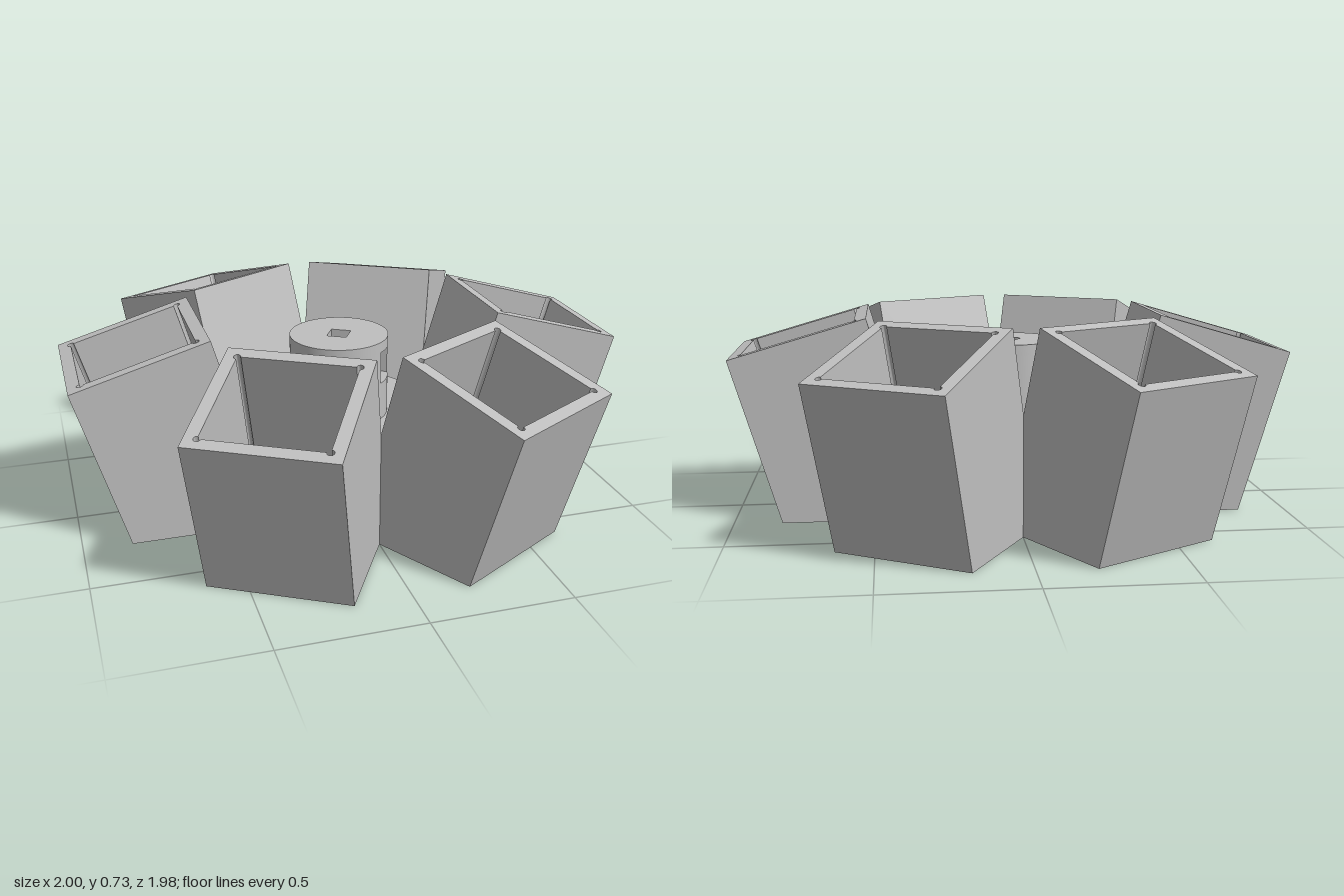
import * as THREE from 'three';
import { toCreasedNormals } from 'three/addons/utils/BufferGeometryUtils.js';

const TILT = Math.atan2(0.28, 0.96);
const S = Math.sin(TILT), C = Math.cos(TILT);
const SIDE = 0.5, POCKET = 0.205, DEPTH = 0.577;
const RIM = new THREE.Vector3(0.76, 0.655, 0); // centre of a box rim
const BASE_REACH = 0.83, DECK_Y = 0.312, HUB_TOP = 0.615, HUB_R = 0.182;

const polygon = pts => new THREE.Shape(pts.map(p => new THREE.Vector2(...p)));
const square = h => [[-h, -h], [h, -h], [h, h], [-h, h]];

function circleHole(r) {
  const p = new THREE.Path();
  p.absarc(0, 0, r, 0, Math.PI * 2, true);
  return p;
}

// Extrude a plan outline upwards between two heights
function slab(shape, y0, y1) {
  const g = new THREE.ExtrudeGeometry(shape, { depth: y1 - y0, bevelEnabled: false, curveSegments: 48 });
  g.rotateX(-Math.PI / 2).translate(0, y0, 0);
  return toCreasedNormals(g, 0.5);
}

// Local frame of a tilted box: x outward, z along its axis
function boxFrame() {
  return new THREE.Matrix4().makeBasis(
    new THREE.Vector3(C, -S, 0), new THREE.Vector3(0, 0, -1), new THREE.Vector3(S, C, 0)
  ).setPosition(RIM);
}

// Square tube with small relief holes at the pocket corners, cut off level at y = 0
function boxWalls() {
  const shape = polygon(square(SIDE / 2));
  const hole = new THREE.Path();
  [[1, 1], [-1, 1], [-1, -1], [1, -1]].forEach(([x, y], i) => {
    const a = (i - 1) * Math.PI / 2;
    hole.absarc(x * POCKET, y * POCKET, 0.012, a, a + Math.PI * 1.5, false);
  });
  hole.closePath();
  shape.holes.push(hole);
  const g = new THREE.ExtrudeGeometry(shape, { depth: DEPTH, bevelEnabled: false, curveSegments: 10 });
  g.translate(0, 0, -DEPTH);
  const p = g.attributes.position, v = new THREE.Vector3(), frame = boxFrame();
  for (let i = 0; i < p.count; i++) {
    v.fromBufferAttribute(p, i);
    const low = v.z < -DEPTH / 2;
    v.applyMatrix4(frame);
    if (low) v.set(v.x - S * v.y / C, 0, v.z);
    p.setXYZ(i, v.x, v.y, v.z);
  }
  g.computeVertexNormals();
  return toCreasedNormals(g, 0.7);
}

export function createModel() {
  const group = new THREE.Group();
  const grey = new THREE.MeshStandardMaterial({ color: 0xbfbfbf });
  grey.name = 'grey';
  const add = (name, geometry, parent = group) => {
    const m = new THREE.Mesh(geometry, grey);
    m.name = name;
    parent.add(m);
    return m;
  };

  // Six open boxes leaning outward around the hub
  const walls = boxWalls();
  const floor = new THREE.PlaneGeometry(POCKET * 2 + 0.03, POCKET * 2 + 0.03);
  floor.translate(0, 0, -DEPTH).applyMatrix4(boxFrame());
  for (let i = 0; i < 6; i++) {
    const box = new THREE.Group();
    box.name = 'box' + (i + 1);
    add('boxWalls', walls, box);
    add('boxFloor', floor, box);
    box.rotation.y = i * Math.PI / 3;
    group.add(box);
  }

  // Flat star-shaped underside with a round bore
  const star = [];
  for (let i = 0; i < 6; i++) {
    const a = i * Math.PI / 3, c = Math.cos(a), s = Math.sin(a);
    for (const h of [-SIDE / 2, SIDE / 2])
      star.push([BASE_REACH * c - h * s, BASE_REACH * s + h * c]);
    star.push([0.5 * Math.cos(a + Math.PI / 6), 0.5 * Math.sin(a + Math.PI / 6)]);
  }
  const under = polygon(star);
  under.holes.push(circleHole(0.115));
  add('underside', new THREE.ShapeGeometry(under, 48).rotateX(Math.PI / 2));

  // Hexagonal deck between the boxes
  const hex = [];
  for (let i = 0; i < 6; i++) {
    const a = i * Math.PI / 3;
    hex.push([0.433 * Math.cos(a), 0.433 * Math.sin(a)]);
  }
  const deck = polygon(hex);
  deck.holes.push(circleHole(0.115));
  add('deck', slab(deck, 0, DECK_Y));

  // Round hub with a square shaft hole and a slot in its side
  const hub = new THREE.Group();
  hub.name = 'hub';
  hub.rotation.y = -Math.PI / 6;
  group.add(hub);
  const shaft = () => new THREE.Path(square(0.037).reverse().map(p => new THREE.Vector2(...p)));
  const disc = new THREE.Shape();
  disc.absarc(0, 0, HUB_R, 0, Math.PI * 2, false);
  disc.holes.push(shaft());
  const slotHalf = 0.06, a = Math.asin(slotHalf / HUB_R);
  const slotted = new THREE.Shape();
  slotted.absarc(0, 0, HUB_R, a, Math.PI * 2 - a, false);
  slotted.lineTo(0.08, -slotHalf);
  slotted.lineTo(0.08, slotHalf);
  slotted.closePath();
  slotted.holes.push(shaft());
  add('hubBase', slab(disc, DECK_Y, 0.455), hub);
  add('hubSlot', slab(slotted, 0.455, 0.575), hub);
  add('hubTop', slab(disc, 0.575, HUB_TOP), hub);

  return group;
}
